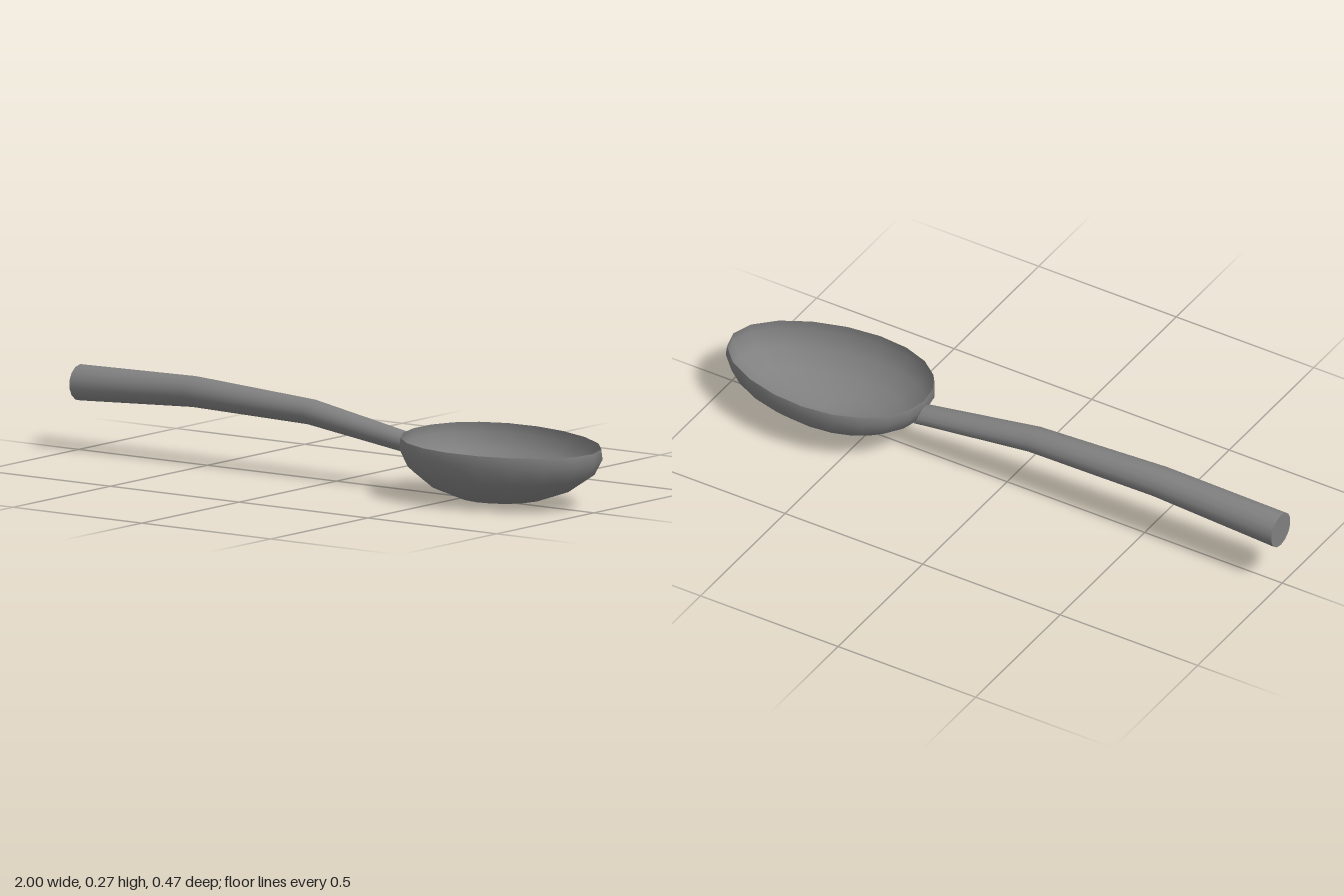
import * as THREE from 'three';
import { mergeVertices } from 'three/addons/utils/BufferGeometryUtils.js';

// Skin a list of closed rings, point(ring, angle) -> [x, y, z]
function loft(rings, sides, point) {
  const pos = [], index = [];
  for (const ring of rings) {
    for (let j = 0; j < sides; j++) pos.push(...point(ring, (j / sides) * Math.PI * 2));
  }
  for (let i = 0; i < rings.length - 1; i++) {
    for (let j = 0; j < sides; j++) {
      const k = (j + 1) % sides;
      const a = i * sides + j, c = i * sides + k, b = a + sides, d = c + sides;
      index.push(a, c, b, c, d, b);
    }
  }
  let geo = new THREE.BufferGeometry();
  geo.setAttribute('position', new THREE.Float32BufferAttribute(pos, 3));
  geo.setIndex(index);
  geo = mergeVertices(geo);
  geo.computeVertexNormals();
  return geo;
}

export function createModel() {
  const spoon = new THREE.Group();
  spoon.name = 'spoon';
  const material = new THREE.MeshStandardMaterial({ color: 0x808080, side: THREE.DoubleSide });
  const add = (name, geo) => {
    const mesh = new THREE.Mesh(geo, material);
    mesh.name = name;
    spoon.add(mesh);
  };

  // Bowl: egg-shaped rings [scale, height, sideways tilt], leaning more towards the bottom
  const bowlRings = [
    [0.988, 0.191, 0.048],
    [1, 0.158, 0.055],
    [0.92, 0.107, 0.08],
    [0.72, 0.06, 0.12],
    [0.47, 0.028, 0.15],
    [0.17, 0.009, 0.2],
    [0, 0.006, 0],
  ];
  add('bowl', loft(bowlRings, 20, ([s, y, tilt], t) => {
    const x = s * (0.352 * Math.cos(t) - 0.045 * Math.sin(t) ** 2);
    const z = s * 0.234 * Math.sin(t);
    return [0.648 + x, y - tilt * z - 0.018 * s * x, z];
  }));

  // Handle: tapering bar through stations [x, y, z, half height, half width]
  const stations = [
    [-1, 0.211, -0.008, 0.057, 0.057],
    [-0.56, 0.226, -0.007, 0.049, 0.052],
    [-0.1, 0.208, -0.004, 0.04, 0.046],
    [0.299, 0.144, -0.002, 0.033, 0.039],
  ];
  const neck = stations[3];
  const section = (station, t) => {
    const [x, cy, cz, h, w] = station;
    const y = cy + h * Math.cos(t);
    // the neck end follows the slope of the bowl wall
    const reach = station === neck ? 0.55 * Math.max(0, 0.158 - y) : 0;
    return [x + reach, y, cz + w * Math.sin(t)];
  };
  add('handle', loft(stations, 14, section));

  // Flat cap closing the free end
  const [x, y, z] = stations[0];
  add('handleEndCap', loft([[x, y, z, 0, 0], stations[0]], 14, section));

  return spoon;
}
